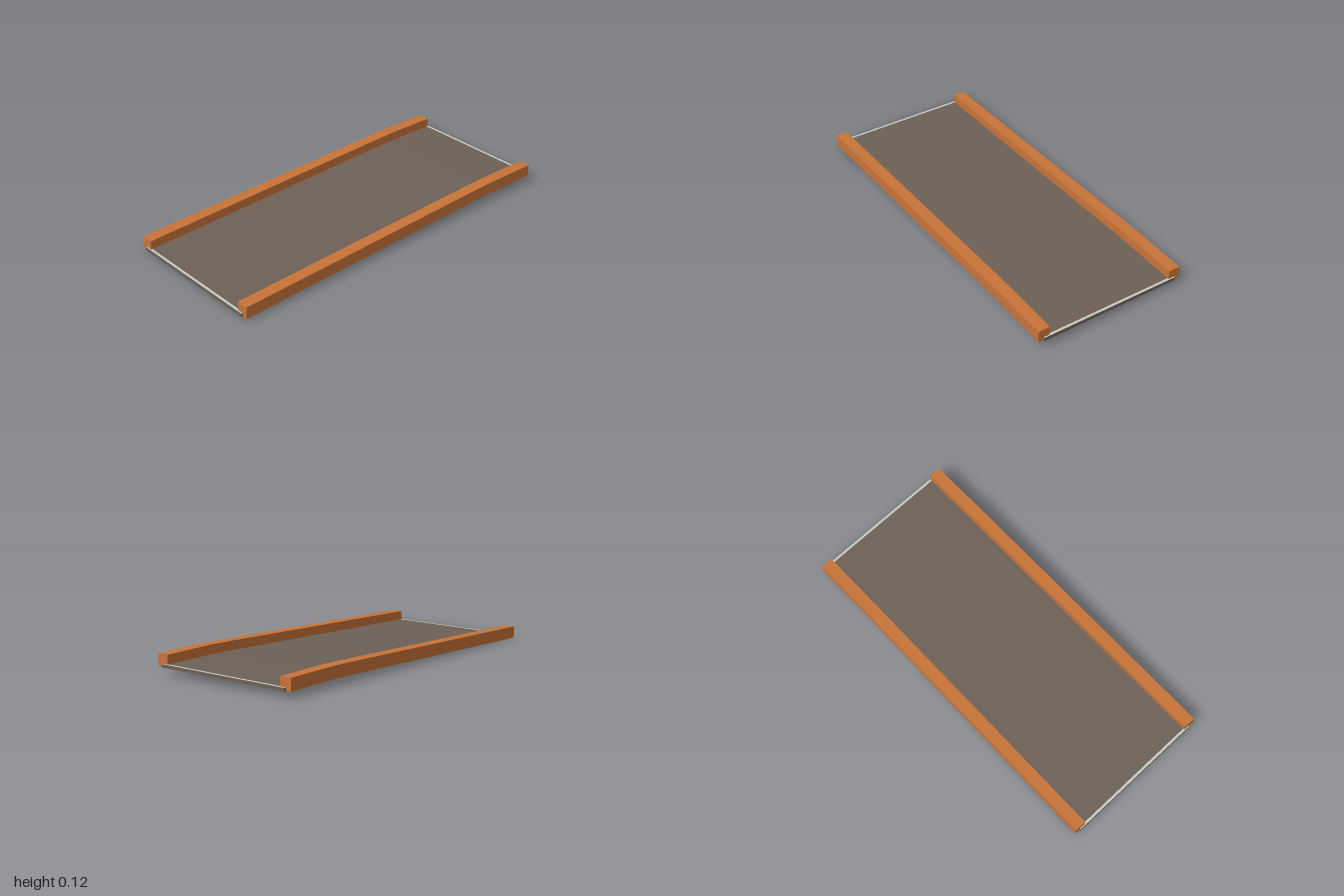
import * as THREE from 'three';

// Lengthwise profile of the bridge: [z, rise], from front to back
const PROFILE = [[1, 0], [-0.55, 0.0345], [-0.68, 0.036], [-1, 0.03]];
const CROSS_SLOPE = 0.0165;

function rise(z) {
  for (let i = 1; i < PROFILE.length; i++) {
    const [za, a] = PROFILE[i - 1], [zb, b] = PROFILE[i];
    if (z >= zb || i === PROFILE.length - 1) return a + (b - a) * (za - z) / (za - zb);
  }
}

// Box bent along the profile; slope tilts its section sideways
function bentBox(x0, x1, y0, y1, z0, z1, slope = 0) {
  const cuts = [z0, ...PROFILE.map(p => p[0]).filter(z => z > z0 && z < z1).reverse(), z1];
  const n = cuts.length - 1;
  const box = new THREE.BoxGeometry(x1 - x0, y1 - y0, 1, 1, 1, n);
  box.translate((x0 + x1) / 2, (y0 + y1) / 2, 0.5);
  const p = box.attributes.position;
  for (let i = 0; i < p.count; i++) {
    const z = cuts[Math.round(p.getZ(i) * n)];
    p.setY(i, p.getY(i) + rise(z) + slope * p.getX(i));
    p.setZ(i, z);
  }
  const flat = box.toNonIndexed();
  flat.computeVertexNormals();
  return flat;
}

export function createModel() {
  const asphalt = new THREE.MeshStandardMaterial({ color: 0x6e6056 });
  asphalt.name = 'asphalt';
  const kerbOrange = new THREE.MeshStandardMaterial({ color: 0xc87439 });
  kerbOrange.name = 'kerb orange';
  const jointGrey = new THREE.MeshStandardMaterial({ color: 0xc4ccc2 });
  jointGrey.name = 'joint grey';

  const group = new THREE.Group();
  group.name = 'roadRamp';
  const add = (name, geometry, material) => {
    const mesh = new THREE.Mesh(geometry, material);
    mesh.name = name;
    group.add(mesh);
  };

  // Road deck, tilted slightly across its width
  add('deck', bentBox(-0.4, 0.4, 0.0066, 0.0236, -1, 1, CROSS_SLOPE), asphalt);

  // Level kerb beams stepping up with the cross slope
  add('rightKerb', bentBox(-0.43, -0.365, 0.002, 0.067, -0.992, 0.992), kerbOrange);
  add('leftKerb', bentBox(0.365, 0.43, 0.0145, 0.08, -0.992, 0.992), kerbOrange);

  // Pale expansion joints across both ends
  add('frontJoint', bentBox(-0.398, 0.398, 0.0226, 0.0246, 0.985, 0.998, CROSS_SLOPE), jointGrey);
  add('backJoint', bentBox(-0.398, 0.398, 0.0226, 0.0246, -0.998, -0.985, CROSS_SLOPE), jointGrey);

  return group;
}
